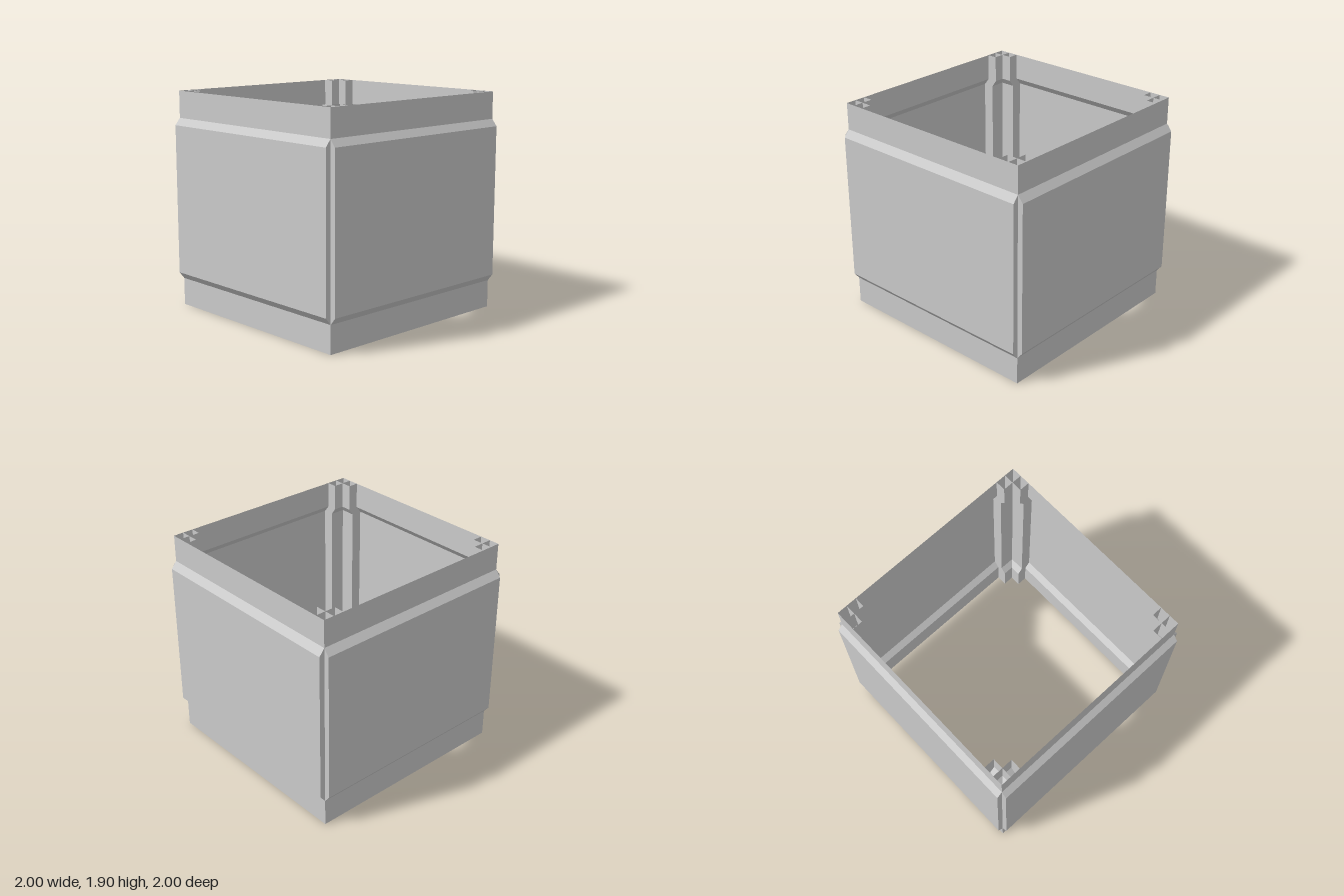
import * as THREE from 'three';

const HALF = 0.952;      // half width of the walls
const POST = 0.765;      // where the corner posts end
const INSET = 0.903;     // inner post sheets follow the wall, scaled inwards

// Wall profile as [distance from centre, height]
const PROFILE = [
  [HALF, 0], [HALF, 0.24], [1, 0.30], [1, 1.61], [HALF, 1.67], [HALF, 1.905],
];

const material = new THREE.MeshStandardMaterial({
  color: 0xcccccc, flatShading: true, side: THREE.DoubleSide,
});

// Thin sheet spanned between two polylines of equal length
function sheet(name, a, b) {
  const pos = [];
  for (let i = 0; i < a.length - 1; i++) {
    pos.push(...a[i], ...b[i], ...b[i + 1], ...a[i], ...b[i + 1], ...a[i + 1]);
  }
  const geometry = new THREE.BufferGeometry();
  geometry.setAttribute('position', new THREE.Float32BufferAttribute(pos, 3));
  geometry.computeVertexNormals();
  const mesh = new THREE.Mesh(geometry, material);
  mesh.name = name;
  return mesh;
}

// The profile placed at x, with its depth scaled
const rail = (x, scale = 1) => PROFILE.map(([d, y]) => [x, y, d * scale]);

function createSide(name) {
  const side = new THREE.Group();
  side.name = name;
  side.add(sheet('wall', rail(-HALF), rail(HALF)));

  for (const s of [-1, 1]) {
    const label = s > 0 ? 'left' : 'right';
    const pair = (part, a, b) => side.add(s > 0 ? sheet(part, a, b) : sheet(part, b, a));

    // Trapezoid closing the end of the raised panel
    const outer = rail(s * HALF).slice(1, 5);
    pair(label + 'PanelEnd', outer, outer.map(([x, y]) => [x, y, HALF]));

    // Corner post: inner sheet and the web joining it to the wall
    pair(label + 'PostSheet', rail(s * HALF, INSET), rail(s * POST, INSET));
    pair(label + 'PostWeb', rail(s * POST, INSET), rail(s * POST));
  }
  return side;
}

export function createModel() {
  const model = new THREE.Group();
  model.name = 'openBox';
  ['frontSide', 'leftSide', 'backSide', 'rightSide'].forEach((name, i) => {
    const side = createSide(name);
    side.rotation.y = i * Math.PI / 2;
    model.add(side);
  });
  return model;
}
